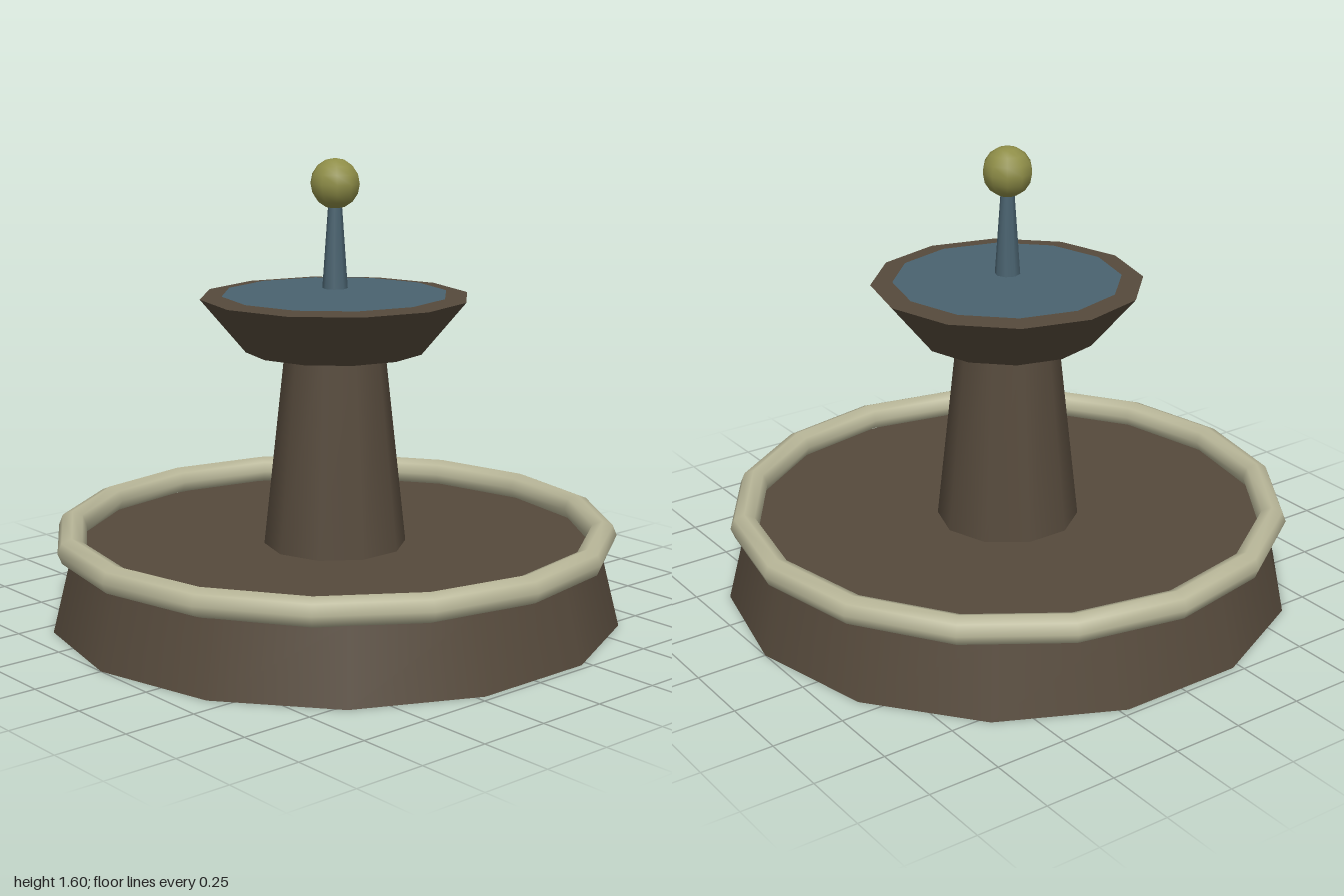
import * as THREE from 'three';

const flat = (name, color) => {
  const m = new THREE.MeshStandardMaterial({ color });
  m.name = name;
  return m;
};

export function createModel() {
  const stone = flat('brown stone', 0x564a3c);
  const trim = flat('pale trim', 0xb9b799);
  const water = flat('water blue', 0x4a6370);
  const gold = flat('old gold', 0x8f8e48);

  const fountain = new THREE.Group();
  fountain.name = 'fountain';

  const add = (name, geometry, material, y) => {
    const mesh = new THREE.Mesh(geometry, material);
    mesh.name = name;
    mesh.position.y = y;
    fountain.add(mesh);
    return mesh;
  };
  // Tapered round part, placed by the height of its underside
  const drum = (name, top, bottom, height, sides, material, y) =>
    add(name, new THREE.CylinderGeometry(top, bottom, height, sides), material, y + height / 2);

  // Lower basin with its rounded rim
  drum('basin', 0.9375, 1, 0.25, 14, stone, 0);
  add('basinRim', new THREE.TorusGeometry(0.9375, 0.05, 8, 16).rotateX(Math.PI / 2), trim, 0.293);

  // Pedestal and upper bowl
  drum('pedestal', 0.175, 0.25, 0.6875, 10, stone, 0.25);
  drum('bowl', 0.469, 0.3125, 0.1875, 12, stone, 0.94);

  // Water surface, a thin sheet on the bowl
  add('bowlWater', new THREE.CircleGeometry(0.394, 12).rotateX(-Math.PI / 2), water, 1.136);

  // Water jet and finial
  drum('waterJet', 0.022, 0.044, 0.3125, 8, water, 1.155);
  add('finial', new THREE.SphereGeometry(0.0865, 10, 8), gold, 1.515);

  return fountain;
}
